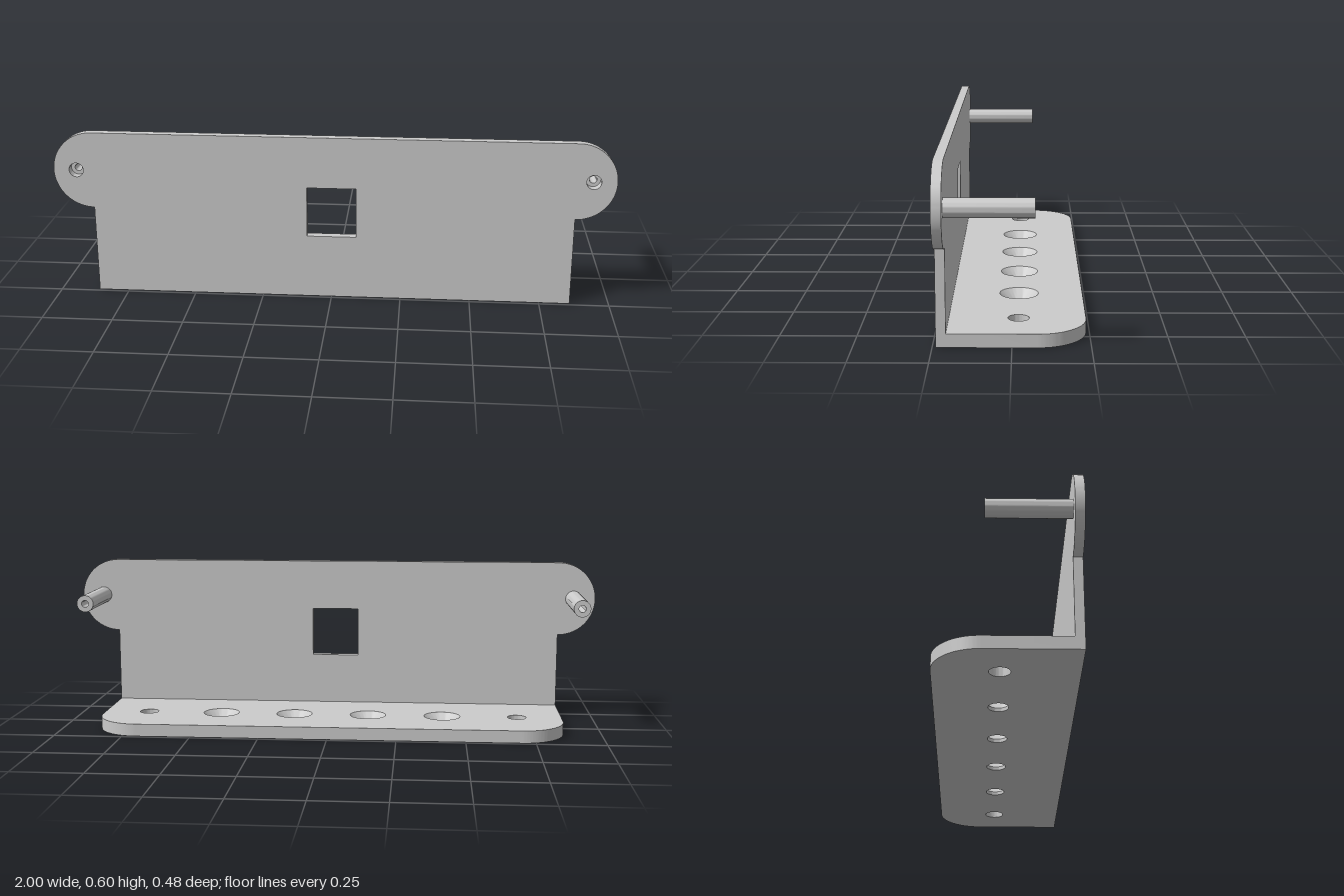
import * as THREE from 'three';
import { toCreasedNormals } from 'three/addons/utils/BufferGeometryUtils.js';

const grey = new THREE.MeshStandardMaterial({ color: 0xcccccc });
const HALF = 0.86;                       // half width of plate body and shelf
const FRONT = 0.239, PLATE = 0.032;      // front face and plate thickness
const INNER = FRONT - PLATE;
const TOP = 0.602, EAR = 0.1395;         // plate height and ear radius
const EAR_Y = TOP - EAR;
const SHELF = 0.045, HOLE_Z = -0.02;
const HOLE_R = 0.035, SINK_R = 0.067;

function part(name, geometry) {
  const mesh = new THREE.Mesh(toCreasedNormals(geometry, 0.5), grey);
  mesh.name = name;
  return mesh;
}

function circle(x, y, r) {
  return new THREE.Path().absarc(x, y, r, 0, Math.PI * 2, true);
}

function extrude(shape, depth) {
  return new THREE.ExtrudeGeometry(shape, { depth, bevelEnabled: false, curveSegments: 24 });
}

function lathe(points) {
  return new THREE.LatheGeometry(points.map(([r, y]) => new THREE.Vector2(r, y)), 48);
}

// Upright plate with round ears, a square window and two screw holes
function frontPlate() {
  const s = new THREE.Shape();
  s.moveTo(-HALF, 0);
  s.lineTo(HALF, 0);
  s.lineTo(HALF, EAR_Y - EAR);
  s.absarc(HALF, EAR_Y, EAR, -Math.PI / 2, Math.PI / 2, false);
  s.lineTo(-HALF, TOP);
  s.absarc(-HALF, EAR_Y, EAR, Math.PI / 2, Math.PI * 1.5, false);
  s.lineTo(-HALF, 0);
  const w = 0.088, y0 = 0.233, y1 = 0.416;
  const win = new THREE.Path();
  win.moveTo(-w, y0);
  win.lineTo(-w, y1);
  win.lineTo(w, y1);
  win.lineTo(w, y0);
  win.lineTo(-w, y0);
  s.holes.push(win, circle(0.918, EAR_Y, 0.026), circle(-0.918, EAR_Y, 0.026));
  const mesh = part('frontPlate', extrude(s, PLATE));
  mesh.position.z = INNER;
  return mesh;
}

// Flat shelf with rounded back corners and a row of six holes
function shelf() {
  const group = new THREE.Group();
  group.name = 'shelf';
  const r = 0.16, back = FRONT;
  const s = new THREE.Shape();
  s.moveTo(-HALF, -INNER);
  s.lineTo(HALF, -INNER);
  s.lineTo(HALF, back - r);
  s.absarc(HALF - r, back - r, r, 0, Math.PI / 2, false);
  s.lineTo(-HALF + r, back);
  s.absarc(-HALF + r, back - r, r, Math.PI / 2, Math.PI, false);
  s.lineTo(-HALF, -INNER);
  for (let i = 0; i < 6; i++) {
    const x = (i - 2.5) * 0.278;
    const sunk = i > 0 && i < 5;
    s.holes.push(circle(x, -HOLE_Z, sunk ? SINK_R : HOLE_R));
    if (!sunk) continue;
    // Conical seat of a countersunk hole
    const seat = part('countersink', lathe([
      [SINK_R, SHELF], [HOLE_R, 0.013], [HOLE_R, 0], [SINK_R, 0],
    ]));
    seat.position.set(x, 0, HOLE_Z);
    group.add(seat);
  }
  group.add(part('shelfPlate', extrude(s, SHELF).rotateX(-Math.PI / 2)));
  return group;
}

// Hollow post behind an ear
function post(side) {
  const ro = 0.031, ri = 0.013, len = 0.279;
  const mesh = part(side > 0 ? 'leftPost' : 'rightPost', lathe([
    [ri, 0], [ro, 0], [ro, len], [ri, len], [ri, 0],
  ]).rotateX(-Math.PI / 2));
  mesh.position.set(side * 0.918, EAR_Y, INNER);
  return mesh;
}

export function createModel() {
  const model = new THREE.Group();
  model.name = 'mountingBracket';
  model.add(frontPlate(), shelf(), post(1), post(-1));
  return model;
}
